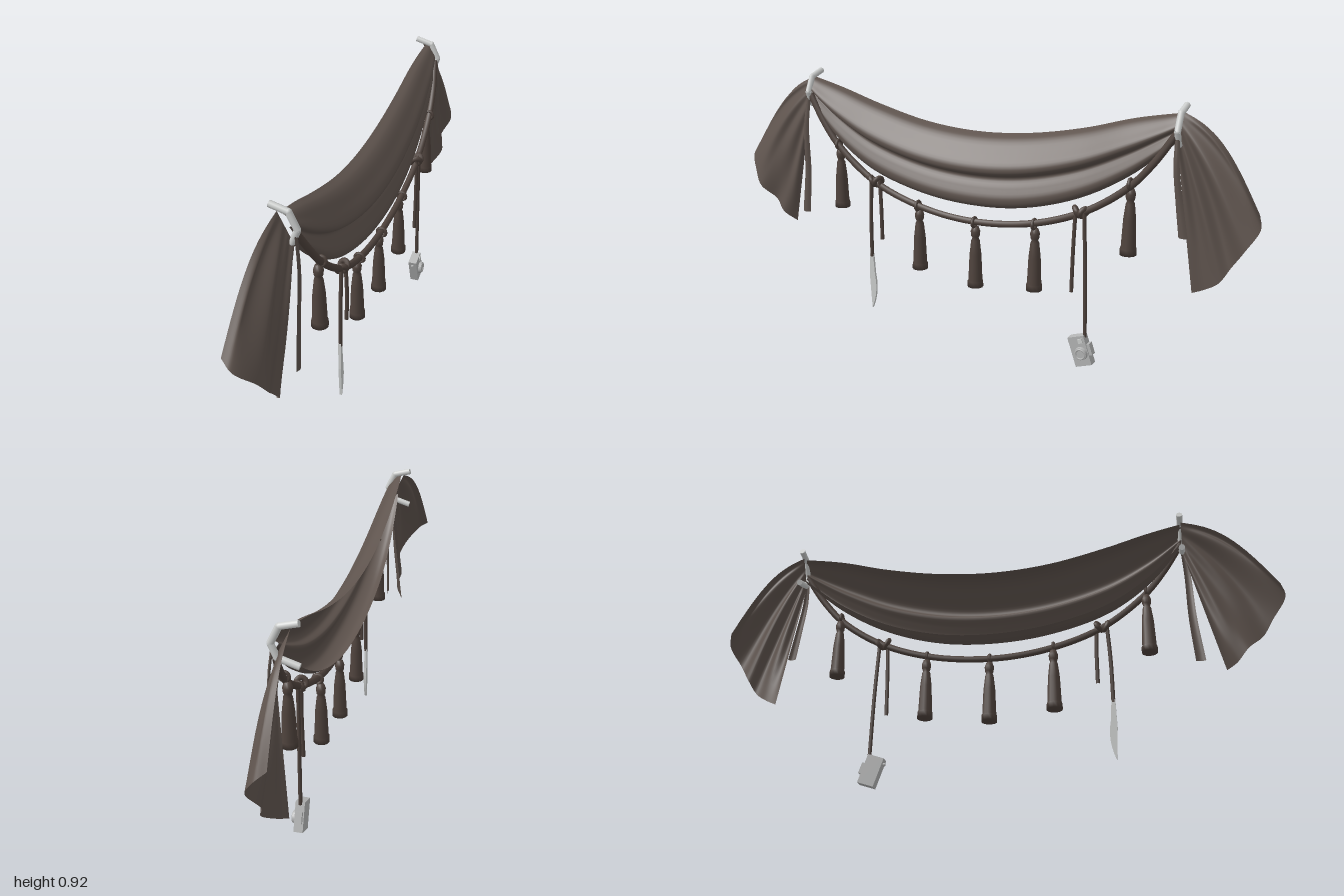
import * as THREE from 'three';

const mat = (name, color, side = THREE.FrontSide) => {
  const m = new THREE.MeshStandardMaterial({ color, side });
  m.name = name;
  return m;
};
const V = (x, y, z) => new THREE.Vector3(x, y, z);
const curve = (pts) => new THREE.CatmullRomCurve3(pts.map((p) => V(...p)));

// Smooth grid surface from a function f(u, v) -> Vector3
function sheet(f, nu, nv) {
  const g = new THREE.PlaneGeometry(1, 1, nu, nv);
  const p = g.attributes.position;
  for (let j = 0; j <= nv; j++) {
    for (let i = 0; i <= nu; i++) {
      const q = f(i / nu, j / nv);
      p.setXYZ(j * (nu + 1) + i, q.x, q.y, q.z);
    }
  }
  g.computeVertexNormals();
  return g;
}

export function createModel() {
  const root = new THREE.Group();
  root.name = 'drapedSwag';
  const cloth = mat('brown cloth', 0x5f544e, THREE.DoubleSide);
  const trim = mat('dark brown trim', 0x4f433d);
  const metal = mat('pale metal', 0xcdcfce);
  const steel = mat('grey steel', 0xb4b5b5);

  const add = (name, geo, material, parent = root) => {
    const m = new THREE.Mesh(geo, material);
    m.name = name;
    parent.add(m);
    return m;
  };
  const tube = (name, pts, r, material, seg = 24, sides = 8) =>
    add(name, new THREE.TubeGeometry(curve(pts), seg, r, sides), material);

  // Main swag: pleated section swept between an upper and a lower edge
  const upper = curve([[0, 0.9, 0.68], [0, 0.865, 0.55], [0, 0.82, 0.4], [0, 0.775, 0.2], [0, 0.76, 0],
    [0, 0.775, -0.2], [0, 0.815, -0.4], [0, 0.865, -0.57], [0, 0.9, -0.73]]);
  const lower = curve([[0, 0.82, 0.67], [0, 0.69, 0.55], [0, 0.59, 0.4], [0, 0.53, 0.2], [0, 0.51, 0],
    [0, 0.525, -0.2], [0, 0.585, -0.4], [0, 0.68, -0.57], [0, 0.81, -0.725]]);
  const section = curve([[-0.04, 0, 0], [-0.005, 0.06, 0], [0.035, 0.25, 0], [0.062, 0.42, 0], [0.055, 0.51, 0],
    [0.03, 0.56, 0], [0.045, 0.7, 0], [0.06, 0.86, 0], [0.045, 0.97, 0], [0.01, 1, 0], [-0.02, 0.94, 0]]);
  add('swag', sheet((u, v) => {
    const s = section.getPoint(v);
    const q = upper.getPoint(u).lerp(lower.getPoint(u), s.y);
    const gather = 0.35 + 0.65 * Math.pow(Math.sin(Math.PI * u), 0.6);
    return V(-0.005 + (s.x + 0.005) * gather, q.y, q.z);
  }, 56, 48), cloth);

  // Hanging tails: fan from the hook to a waving hem
  const tail = (name, z, top, hemPts) => {
    const hem = curve(hemPts);
    add(name, sheet((u, v) => {
      const a = V(-0.03 + 0.05 * v, top - 0.1 * v, z);
      const q = a.lerp(hem.getPoint(v), u);
      q.y += 0.06 * Math.sin(Math.PI * u) * (1 - v);
      q.x += 0.008 * Math.sin(v * 22) * Math.sin(Math.PI * u);
      return q;
    }, 16, 48), cloth);
  };
  tail('leftTail', 0.675, 0.9, [[-0.072, 0.6, 0.985], [-0.035, 0.57, 1], [0.015, 0.51, 0.955], [0.034, 0.46, 0.92],
    [0.01, 0.41, 0.865], [0.02, 0.365, 0.825], [-0.01, 0.325, 0.785]]);
  tail('rightTail', -0.73, 0.9, [[-0.04, 0.6, -0.985], [0, 0.565, -1], [0.034, 0.5, -0.965], [0.005, 0.43, -0.92],
    [0.02, 0.38, -0.89], [-0.005, 0.34, -0.84], [-0.03, 0.31, -0.79]]);

  // Narrow loose ties beside each tail
  const tie = (name, pts, w) => {
    const c = curve(pts);
    add(name, sheet((u, v) => {
      const q = c.getPoint(u);
      q.z += (v - 0.5) * w * (0.5 + 0.5 * u);
      q.x += 0.006 * Math.sin(Math.PI * v);
      return q;
    }, 16, 4), cloth);
  };
  tie('leftTie', [[0.025, 0.83, 0.675], [0.035, 0.72, 0.685], [0.03, 0.55, 0.69], [0.03, 0.385, 0.705]], 0.034);
  tie('rightTie', [[0.025, 0.83, -0.73], [0.035, 0.74, -0.735], [0.03, 0.62, -0.75], [0.03, 0.51, -0.768]], 0.03);

  // Bent wall hooks
  const hookPath = [[-0.055, 0.918], [0.004, 0.902], [0.03, 0.848], [0.012, 0.805], [-0.055, 0.785]];
  for (const [name, z] of [['leftHook', 0.672], ['rightHook', -0.73]]) {
    const hook = new THREE.Group();
    hook.name = name;
    root.add(hook);
    for (let i = 0; i < hookPath.length - 1; i++) {
      const a = V(...hookPath[i], z), b = V(...hookPath[i + 1], z);
      const d = b.clone().sub(a);
      const rod = add('hookRod', new THREE.CylinderGeometry(0.011, 0.011, d.length(), 8), metal, hook);
      rod.position.copy(a).addScaledVector(d, 0.5);
      rod.quaternion.setFromUnitVectors(V(0, 1, 0), d.normalize());
      if (i) add('hookBend', new THREE.SphereGeometry(0.011, 8, 6), metal, hook).position.copy(a);
    }
  }

  // Rope under the swag
  tube('rope', [[0.02, 0.84, 0.67], [0.035, 0.74, 0.6], [0.042, 0.66, 0.53], [0.046, 0.55, 0.38], [0.042, 0.483, 0.2],
    [0.04, 0.457, 0], [0.042, 0.48, -0.23], [0.046, 0.55, -0.43], [0.042, 0.65, -0.58], [0.035, 0.74, -0.66],
    [0.02, 0.84, -0.725]], 0.012, trim, 80);

  // Tassels
  const tasselProfile = [[0, 0], [0.028, 0], [0.0275, 0.022], [0.025, 0.024], [0.021, 0.12], [0.015, 0.172], [0.011, 0.18],
    [0.015, 0.188], [0.017, 0.205], [0.011, 0.222], [0, 0.225]].map((p) => new THREE.Vector2(...p));
  for (const [z, y] of [[0.535, 0.43], [0.2, 0.243], [-0.028, 0.215], [-0.257, 0.243], [-0.59, 0.428]]) {
    const t = new THREE.Group();
    t.name = 'tassel';
    t.position.set(0.032, y, z);
    root.add(t);
    add('tasselSkirt', new THREE.LatheGeometry(tasselProfile, 12), trim, t);
    const loop = add('tasselLoop', new THREE.TorusGeometry(0.016, 0.006, 6, 14), trim, t);
    loop.position.set(0.01, 0.24, 0);
  }

  // Rope knots
  for (const z of [0.375, -0.425]) {
    const k = new THREE.Group();
    k.name = 'knot';
    k.position.set(0.048, 0.552, z);
    root.add(k);
    for (const s of [-1, 1]) {
      const ring = add('knotLoop', new THREE.TorusGeometry(0.016, 0.009, 8, 16), trim, k);
      ring.position.z = s * 0.012;
      ring.rotation.set(s * 0.5, s * 0.4, 0);
    }
  }

  // Hanging cords
  tube('knifeCord', [[0.05, 0.56, 0.39], [0.048, 0.42, 0.398], [0.046, 0.26, 0.4]], 0.007, trim, 10);
  tube('shortLeftCord', [[0.05, 0.56, 0.355], [0.052, 0.45, 0.35], [0.05, 0.335, 0.35]], 0.007, trim, 10);
  tube('shortRightCord', [[0.05, 0.56, -0.41], [0.052, 0.42, -0.406], [0.05, 0.27, -0.403]], 0.007, trim, 10);
  tube('cameraCord', [[0.05, 0.56, -0.44], [0.048, 0.35, -0.45], [0.047, 0.115, -0.456]], 0.007, trim, 10);

  // Knife: flat pointed blade with a slim grip
  const blade = new THREE.Shape();
  blade.moveTo(0.407, 0.27);
  blade.lineTo(0.394, 0.27);
  blade.lineTo(0.388, 0.19);
  blade.quadraticCurveTo(0.374, 0.12, 0.403, 0.055);
  blade.lineTo(0.41, 0.17);
  blade.lineTo(0.407, 0.27);
  const knife = new THREE.ExtrudeGeometry(blade, { depth: 0.009, bevelEnabled: false });
  knife.rotateY(-Math.PI / 2);
  add('knife', knife, metal).position.x = 0.05;

  // Small camera hanging by its side
  const cam = new THREE.Group();
  cam.name = 'camera';
  cam.position.set(0.047, 0.065, -0.445);
  cam.rotation.x = 0.33;
  root.add(cam);
  add('cameraBody', new THREE.BoxGeometry(0.032, 0.106, 0.06), steel, cam);
  add('cameraHump', new THREE.BoxGeometry(0.024, 0.04, 0.014), steel, cam).position.z = -0.034;
  add('cameraButton', new THREE.CylinderGeometry(0.006, 0.006, 0.008, 10).rotateX(Math.PI / 2), steel, cam)
    .position.set(0, 0.035, 0.033);
  add('cameraLens', new THREE.CylinderGeometry(0.022, 0.024, 0.012, 18).rotateZ(-Math.PI / 2), steel, cam)
    .position.set(0.02, -0.008, -0.004);
  add('lensRim', new THREE.TorusGeometry(0.017, 0.004, 6, 18).rotateY(Math.PI / 2), steel, cam)
    .position.set(0.025, -0.008, -0.004);
  add('cameraFlash', new THREE.BoxGeometry(0.006, 0.016, 0.016), metal, cam).position.set(0.017, 0.036, -0.014);

  return root;
}
